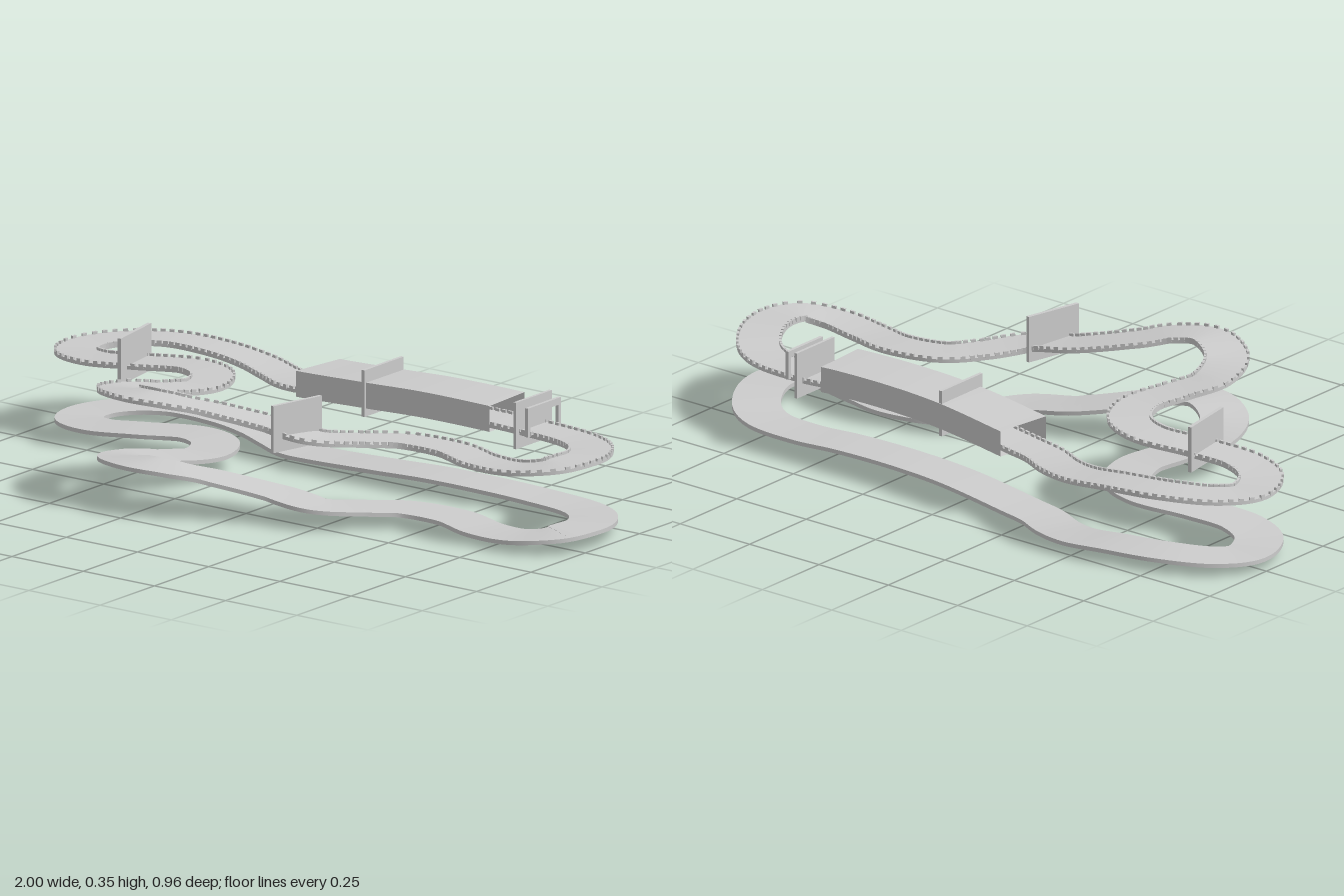
import * as THREE from 'three';
import { mergeGeometries } from 'three/addons/utils/BufferGeometryUtils.js';

const grey = new THREE.MeshStandardMaterial({ color: 0xcccccc });
const thin = new THREE.MeshStandardMaterial({ color: 0xcccccc, side: THREE.DoubleSide });
const LIFT = 0.19; // height of the raised road above the lower ribbon

// Centre line of the circuit: x, height, z
const course = [
  [-0.6, 0.038, -0.425], [-0.76, 0.045, -0.405], [-0.89, 0.04, -0.335], [-0.937, 0.036, -0.25],
  [-0.9, 0.042, -0.15], [-0.8, 0.05, -0.104], [-0.66, 0.06, -0.118], [-0.49, 0.07, -0.147],
  [-0.385, 0.073, -0.1], [-0.335, 0.075, 0.01], [-0.37, 0.086, 0.125], [-0.415, 0.104, 0.225],
  [-0.385, 0.128, 0.33], [-0.27, 0.145, 0.394], [-0.17, 0.138, 0.37], [-0.08, 0.118, 0.312],
  [0.08, 0.085, 0.24], [0.22, 0.063, 0.21], [0.31, 0.05, 0.11], [0.39, 0.044, 0.035],
  [0.54, 0.038, 0.01], [0.67, 0.032, 0.042], [0.8, 0.038, 0.055], [0.89, 0.05, 0.015],
  [0.912, 0.053, -0.06], [0.9, 0.048, -0.14], [0.835, 0.038, -0.24], [0.75, 0.034, -0.292], [0.6, 0.036, -0.31],
  [0.45, 0.042, -0.305], [0.25, 0.043, -0.303], [0.06, 0.035, -0.305], [-0.19, 0.018, -0.332],
  [-0.28, 0.014, -0.347], [-0.37, 0.015, -0.388], [-0.47, 0.024, -0.42],
];
const path = new THREE.CatmullRomCurve3(course.map(p => new THREE.Vector3(...p)), true);
path.arcLengthDivisions = 1000;

// Upright frames (point, sideways direction, heading) spaced evenly along the course
function makeFrames(count) {
  return Array.from({ length: count }, (_, i) => {
    const p = path.getPointAt(i / count);
    const t = path.getTangentAt(i / count);
    const side = new THREE.Vector3(t.z, 0, -t.x).normalize();
    return { p, side, t };
  });
}

// Sweep a counter-clockwise section, keeping its corners sharp
function sweep(frames, section, closed) {
  const pos = [], index = [], n = frames.length;
  section.forEach((a, k) => {
    const b = section[(k + 1) % section.length];
    const base = pos.length / 3;
    for (const f of frames) {
      for (const [u, v] of [a, b]) pos.push(f.p.x + f.side.x * u, f.p.y + v, f.p.z + f.side.z * u);
    }
    for (let i = 0; i < (closed ? n : n - 1); i++) {
      const a0 = base + 2 * i, a1 = base + 2 * ((i + 1) % n);
      index.push(a0, a0 + 1, a1 + 1, a0, a1 + 1, a1);
    }
  });
  const g = new THREE.BufferGeometry();
  g.setAttribute('position', new THREE.Float32BufferAttribute(pos, 3));
  g.setIndex(index);
  g.computeVertexNormals();
  return g;
}

const rect = (w, bottom, top) => [[-w / 2, bottom], [w / 2, bottom], [w / 2, top], [-w / 2, top]];

function add(parent, name, geometry, material = grey) {
  const mesh = new THREE.Mesh(geometry, material);
  mesh.name = name;
  parent.add(mesh);
  return mesh;
}

function panel(parent, name, [x, y, z], [w, h, d], turn = 0) {
  const m = add(parent, name, new THREE.BoxGeometry(w, h, d));
  m.position.set(x, y, z);
  m.rotation.y = turn;
  return m;
}

export function createModel() {
  const model = new THREE.Group();
  model.name = 'raceCircuit';
  const frames = makeFrames(400);

  // Lower ribbon, slightly wider and offset
  add(model, 'lowerRibbon', sweep(frames, rect(0.137, -0.012, 0), true)).position.set(0.018, 0, 0.012);

  // Raised road
  const raised = new THREE.Group();
  raised.name = 'raisedCircuit';
  raised.position.y = LIFT;
  model.add(raised);
  add(raised, 'road', sweep(frames, rect(0.125, -0.01, 0), true));

  // Kerb blocks along both edges
  const blocks = [];
  for (const f of makeFrames(210)) {
    for (const s of [-1, 1]) {
      const up = new THREE.Vector3().crossVectors(f.t, f.side);
      const m = new THREE.Matrix4().makeBasis(f.side, up, f.t);
      m.setPosition(f.p.clone().addScaledVector(f.side, s * 0.06).addScaledVector(up, 0.002));
      blocks.push(new THREE.BoxGeometry(0.007, 0.012, 0.014).applyMatrix4(m));
    }
  }
  add(raised, 'kerbs', mergeGeometries(blocks));

  // Tunnel over the back straight
  const covered = frames.filter(({ p }) => p.z < -0.2 && p.x > -0.2 && p.x < 0.495);
  add(raised, 'tunnel', sweep(covered, rect(0.174, -0.013, 0.062), false), thin);

  // Upright boards across the road
  panel(model, 'leftBoard', [-0.665, 0.271, -0.107], [0.011, 0.135, 0.182], 0.165);
  panel(model, 'frontBoard', [0.166, 0.286, 0.236], [0.011, 0.136, 0.175], -0.235);
  panel(model, 'tunnelBoard', [0.06, 0.257, -0.3], [0.01, 0.135, 0.18]);
  panel(model, 'startBoard', [0.575, 0.246, -0.315], [0.009, 0.135, 0.165]);

  // Open gate beside the start board
  const gate = new THREE.Group();
  gate.name = 'startGate';
  gate.position.set(0.618, 0.22, -0.307);
  model.add(gate);
  for (const s of [-1, 1]) panel(gate, 'gatePost', [0, 0.042, s * 0.07], [0.01, 0.084, 0.012]);
  panel(gate, 'gateBeam', [0, 0.074, 0], [0.01, 0.02, 0.15]);

  return model;
}
